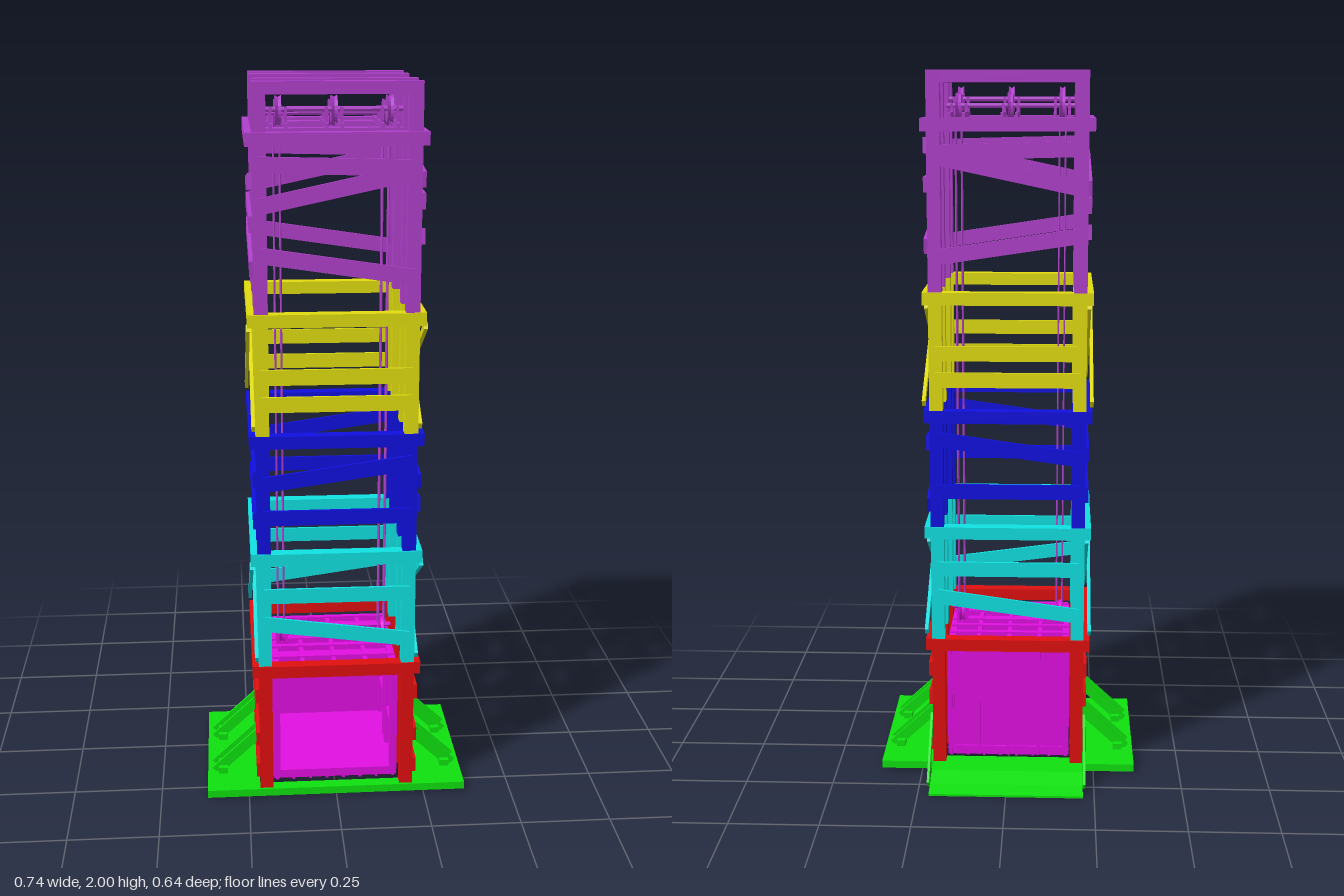
import * as THREE from 'three';

const mat = (color) => new THREE.MeshStandardMaterial({ color, flatShading: true });
const red = mat(0xe01010), cyan = mat(0x10e0e0), blue = mat(0x1010e0), yellow = mat(0xe0dc10);
const purple = mat(0xb040cc), green = mat(0x10e010), magenta = mat(0xe010e0);
const V = (x, y, z) => new THREE.Vector3(x, y, z);

function add(parent, name, geo, material, x = 0, y = 0, z = 0) {
  const m = new THREE.Mesh(geo, material);
  m.name = name;
  m.position.set(x, y, z);
  parent.add(m);
  return m;
}

// Box given by its minimum and maximum on each axis
function block(parent, name, material, x0, x1, y0, y1, z0, z1) {
  return add(parent, name, new THREE.BoxGeometry(x1 - x0, y1 - y0, z1 - z0), material,
    (x0 + x1) / 2, (y0 + y1) / 2, (z0 + z1) / 2);
}

// Plank from a to b; its thickness runs along the normal n
function plank(parent, name, material, a, b, width, thick, n) {
  const d = b.clone().sub(a);
  const m = add(parent, name, new THREE.BoxGeometry(d.length(), width, thick), material);
  d.normalize();
  m.quaternion.setFromRotationMatrix(new THREE.Matrix4().makeBasis(d, n.clone().cross(d), n));
  m.position.copy(a).add(b).multiplyScalar(0.5);
  return m;
}

function rod(parent, name, material, r, a, b) {
  const d = b.clone().sub(a);
  const m = add(parent, name, new THREE.CylinderGeometry(r, r, d.length(), 8), material);
  m.quaternion.setFromUnitVectors(V(0, 1, 0), d.normalize());
  m.position.copy(a).add(b).multiplyScalar(0.5);
}

// Grooved rope wheel with its axle along x
function sheave(parent, material, r, x, y, z) {
  const p = [[0.2, -0.006], [1, -0.008], [0.85, 0], [1, 0.008], [0.2, 0.006]]
    .map(([k, h]) => new THREE.Vector2(k * r, h));
  const m = add(parent, 'ropeWheel', new THREE.LatheGeometry(p, 20), material, x, y, z);
  m.rotation.z = Math.PI / 2;
}

const FRONT = 0.315, BACK = -0.158, SIDE = 0.226;
const POSTS_Z = [[0.28, 0.312], [0.165, 0.2], [-0.035, 0], [-0.155, -0.12]];

// Posts, ring beam and boards of one storey.
// Board lists hold [height at the low-axis end, height at the other end].
function storey(root, name, m, y0, y1, beamTop, { front = [], back = front, right = [], left = right, cross }) {
  const g = new THREE.Group();
  g.name = name;
  root.add(g);
  for (const s of [-1, 1]) {
    for (const [z0, z1] of POSTS_Z) {
      add(g, 'post', new THREE.BoxGeometry(0.037, y1 - y0, z1 - z0), m, s * 0.199, (y0 + y1) / 2, (z0 + z1) / 2);
    }
    add(g, 'sideBeam', new THREE.BoxGeometry(0.018, 0.035, 0.468), m, s * SIDE, beamTop - 0.0175, 0.079);
    for (const [a, b] of s > 0 ? right : left) {
      plank(g, 'sideBoard', m, V(s * (SIDE - 0.004), a, 0.312), V(s * (SIDE - 0.004), b, -0.155), 0.042, 0.01, V(1, 0, 0));
    }
    if (cross) {
      const lo = y0 + 0.02, hi = beamTop - 0.035;
      plank(g, 'crossBrace', m, V(s * 0.223, lo, 0.308), V(s * 0.223, hi, -0.15), 0.02, 0.01, V(1, 0, 0));
      plank(g, 'crossBrace', m, V(s * 0.233, hi, 0.308), V(s * 0.233, lo, -0.15), 0.02, 0.01, V(1, 0, 0));
    }
  }
  block(g, 'frontBeam', m, -0.217, 0.217, beamTop - 0.035, beamTop, 0.282, 0.317);
  block(g, 'backBeam', m, -0.217, 0.217, beamTop - 0.035, beamTop, -0.16, -0.125);
  for (const [list, z] of [[front, FRONT], [back, BACK]]) {
    for (const [a, b] of list) plank(g, 'board', m, V(-0.2, a, z), V(0.2, b, z), 0.042, 0.008, V(0, 0, 1));
  }
  return g;
}

function buildBase(root) {
  const g = new THREE.Group();
  g.name = 'base';
  root.add(g);
  // Floor plate around the shaft opening
  for (const s of [-1, 1]) add(g, 'sidePlate', new THREE.BoxGeometry(0.15, 0.022, 0.478), green, s * 0.293, 0.019, 0.08);
  block(g, 'frontSill', green, -0.218, 0.218, 0.008, 0.03, 0.283, 0.319);
  block(g, 'backSill', green, -0.218, 0.218, 0.008, 0.03, -0.16, -0.118);
  // Stepped plate behind the tower
  const profile = [[0.16, 0.006], [0.32, 0.002], [0.32, 0.008], [0.267, 0.014], [0.213, 0.03], [0.16, 0.03]];
  const apron = new THREE.ExtrudeGeometry(new THREE.Shape(profile.map(([a, b]) => new THREE.Vector2(a, b))),
    { depth: 0.436, bevelEnabled: false });
  add(g, 'backPlate', apron, green, -0.218, 0, 0).rotation.y = Math.PI / 2;
  for (const s of [-1, 1]) {
    // Paired stays on either side of the middle posts
    for (const zc of [-0.0175, 0.1825]) {
      for (const dz of [-0.0215, 0.0215]) {
        plank(g, 'stay', green, V(s * 0.345, 0.03, zc + dz), V(s * 0.205, 0.16, zc + dz), 0.03, 0.008, V(0, 0, 1));
      }
      add(g, 'stayFoot', new THREE.BoxGeometry(0.026, 0.022, 0.084), green, s * 0.323, 0.037, zc);
    }
    plank(g, 'backStay', green, V(s * 0.2215, 0.02, -0.285), V(s * 0.2215, 0.165, -0.13), 0.032, 0.007, V(1, 0, 0));
  }
}

function buildCabin(root) {
  const g = new THREE.Group();
  g.name = 'cabin';
  root.add(g);
  const b = (name, ...e) => block(g, name, magenta, ...e);
  b('floor', -0.175, 0.175, 0.045, 0.055, -0.1, 0.26);
  for (let i = 0; i < 8; i++) {
    const x = -0.172 + i * 0.048, z = -0.098 + i * 0.0495;
    b('floorRib', x, x + 0.008, 0.025, 0.045, -0.1, 0.26);
    b('floorRib', -0.175, 0.175, 0.028, 0.045, z, z + 0.008);
  }
  // Back wall with ribs and rails
  b('backWall', -0.175, 0.175, 0.055, 0.37, -0.095, -0.085);
  for (const x of [-0.17, -0.088, 0, 0.088, 0.17]) b('backRib', x - 0.005, x + 0.005, 0.03, 0.37, -0.105, -0.095);
  b('backRail', -0.16, 0.16, 0.27, 0.28, -0.085, -0.08);
  for (const s of [-1, 1]) {
    const side = (name, w, y0, y1, z0, z1) =>
      add(g, name, new THREE.BoxGeometry(w, y1 - y0, z1 - z0), magenta, s * (0.178 - w / 2), (y0 + y1) / 2, (z0 + z1) / 2);
    side('sidePanel', 0.008, 0.03, 0.17, -0.1, 0.26);
    side('sideRail', 0.016, 0.16, 0.175, -0.1, 0.26);
    side('topRail', 0.02, 0.35, 0.372, -0.1, 0.26);
    for (const [z0, z1] of [[0.235, 0.26], [0.098, 0.12], [0.048, 0.07], [-0.1, -0.075]]) side('upright', 0.02, 0.03, 0.37, z0, z1);
    sheave(g, magenta, 0.034, s * 0.145, 0.415, 0.083);
    add(g, 'wheelBracket', new THREE.BoxGeometry(0.035, 0.05, 0.012), magenta, s * 0.145, 0.395, 0.083);
  }
  // Roof of slats under the lifting beam
  b('roof', -0.17, 0.17, 0.355, 0.362, -0.1, 0.26);
  for (const z of [-0.1, -0.01, 0.048, 0.1, 0.17, 0.245]) b('roofSlat', -0.175, 0.175, 0.36, 0.378, z, z + 0.015);
  for (const x of [-0.09, 0, 0.09]) b('roofSlat', x - 0.006, x + 0.006, 0.36, 0.374, -0.1, 0.26);
  rod(g, 'liftingBar', magenta, 0.007, V(-0.175, 0.425, 0.083), V(0.175, 0.425, 0.083));
}

function buildHead(g) {
  // Top cross beams, thin deck and its ribs
  for (const [z0, z1] of POSTS_Z) block(g, 'topBeam', purple, -0.217, 0.217, 1.97, 2, z0, z1);
  block(g, 'deck', purple, -0.18, 0.18, 1.968, 1.974, -0.155, 0.312);
  for (const x of [-0.088, 0, 0.088]) block(g, 'deckRib', purple, x - 0.004, x + 0.004, 1.974, 1.98, -0.13, 0.3);
  block(g, 'deckRib', purple, -0.18, 0.18, 1.974, 1.98, 0.076, 0.084);
  // Winding gear
  for (const [z0, z1] of POSTS_Z.slice(1, 3)) block(g, 'gearBeam', purple, -0.217, 0.217, 1.84, 1.875, z0, z1);
  for (const x of [-0.145, 0, 0.145]) {
    for (const d of [-0.02, 0.02]) {
      block(g, 'gearRail', purple, x + d - 0.004, x + d + 0.004, 1.873, 1.888, -0.03, 0.215);
      for (const [y, z] of [[1.922, 0.18], [1.905, 0.083]]) block(g, 'bearing', purple, x + d - 0.004, x + d + 0.004, 1.885, y + 0.006, z - 0.007, z + 0.007);
    }
    sheave(g, purple, 0.036, x, 1.922, 0.18);
    sheave(g, purple, 0.036, x, 1.905, 0.083);
  }
  sheave(g, purple, 0.037, -0.187, 1.905, 0.08);
  rod(g, 'shaft', purple, 0.007, V(-0.18, 1.922, 0.18), V(0.18, 1.922, 0.18));
  rod(g, 'shaft', purple, 0.007, V(-0.193, 1.905, 0.083), V(0.18, 1.905, 0.083));
  // Hoisting ropes
  for (const x of [-0.155, -0.138, 0.138, 0.155]) {
    for (const z of [0.07, 0.096]) rod(g, 'rope', purple, 0.0025, V(x, 0.41, z), V(x, 1.9, z));
  }
}

export function createModel() {
  const root = new THREE.Group();
  root.name = 'liftTower';
  buildBase(root);
  buildCabin(root);
  storey(root, 'groundStorey', red, 0.03, 0.41, 0.41, { right: [[0.318, 0.318], [0.185, 0.23], [0.088, 0.088]] });
  storey(root, 'secondStorey', cyan, 0.41, 0.745, 0.745,
    { front: [[0.622, 0.622], [0.54, 0.485]], back: [[0.622, 0.622], [0.485, 0.54]], cross: true });
  storey(root, 'thirdStorey', blue, 0.745, 1.08, 1.08,
    { front: [[0.945, 1.0], [0.85, 0.85]], right: [[0.945, 0.99], [0.88, 0.81]], left: [[0.96, 0.96], [0.84, 0.84]] });
  storey(root, 'fourthStorey', yellow, 1.08, 1.41, 1.41, { front: [[1.242, 1.242], [1.168, 1.168]], cross: true });
  const top = storey(root, 'topStorey', purple, 1.41, 2, 1.875, {
    front: [[1.795, 1.785], [1.69, 1.775], [1.565, 1.505]],
    right: [[1.755, 1.805], [1.7, 1.7], [1.61, 1.535]],
    left: [[1.755, 1.69], [1.645, 1.645], [1.53, 1.575]],
  });
  buildHead(top);
  return root;
}
